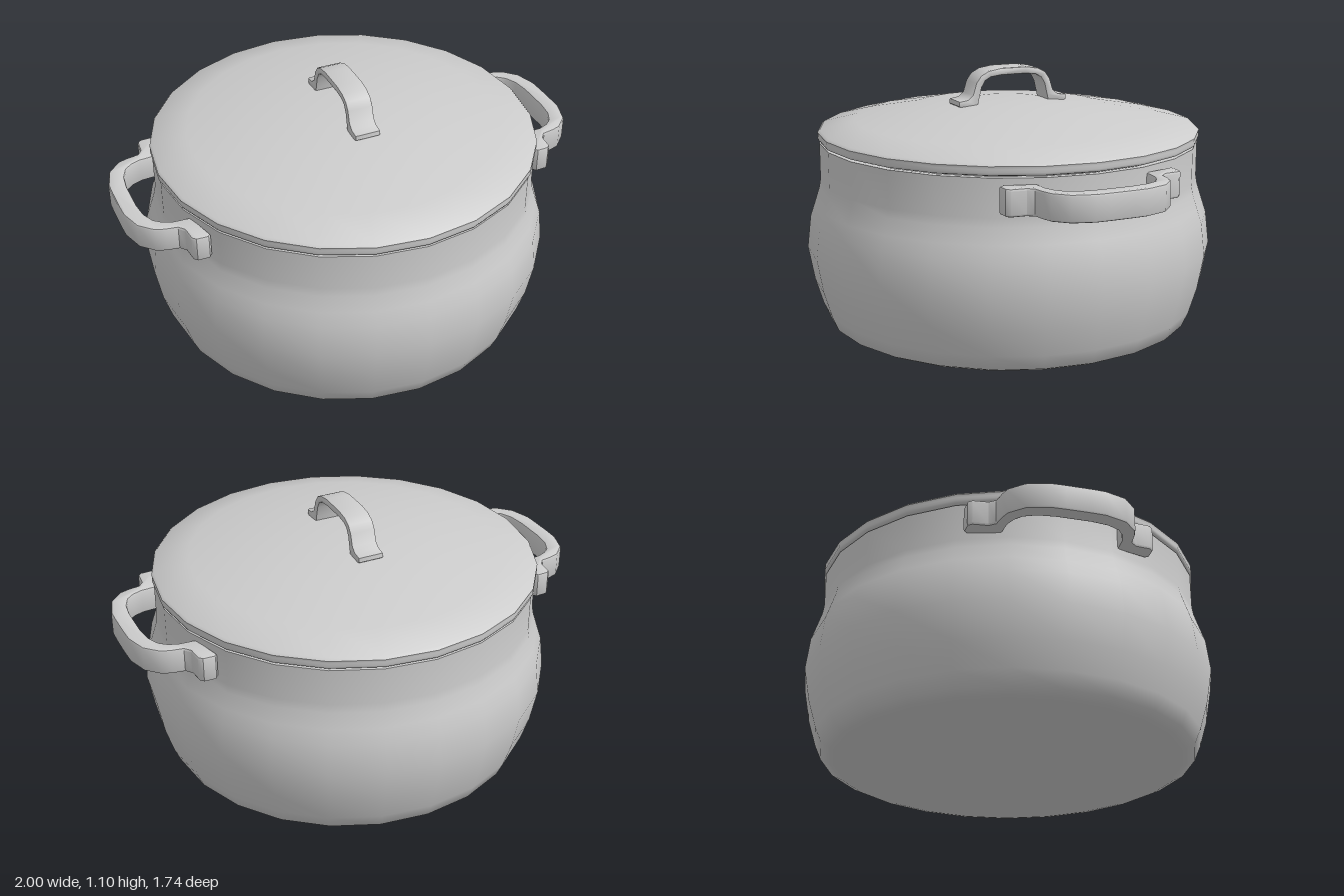
import * as THREE from 'three';
import { toCreasedNormals } from 'three/addons/utils/BufferGeometryUtils.js';

const material = new THREE.MeshStandardMaterial({ color: 0xcccccc });

function addMesh(parent, name, geometry, crease) {
  const mesh = new THREE.Mesh(toCreasedNormals(geometry, crease), material);
  mesh.name = name;
  parent.add(mesh);
  return mesh;
}

const lathe = (points) =>
  new THREE.LatheGeometry(points.map(([r, y]) => new THREE.Vector2(r, y)), 24);

// Strap with a mirrored outline: half the outer edge, then half the inner edge,
// both running from the foot to the middle [along, out].
function strap(outer, inner, width, bevel) {
  const flip = (pts) => pts.slice().reverse().map(([a, b]) => [-a, b]);
  const outline = [...outer, ...flip(outer), ...inner.map(([a, b]) => [-a, b]),
    ...inner.slice().reverse()];
  const shape = new THREE.Shape(outline.map(([a, b]) => new THREE.Vector2(a, b)));
  const geometry = new THREE.ExtrudeGeometry(shape, {
    depth: width - 2 * bevel, bevelEnabled: true, bevelThickness: bevel,
    bevelSize: bevel, bevelOffset: -bevel, bevelSegments: 2,
  });
  return geometry.translate(0, 0, bevel - width / 2);
}

export function createModel() {
  const group = new THREE.Group();
  group.name = 'cookingPot';

  // Bulging pot with a rim and inner wall
  addMesh(group, 'potBody', lathe([
    [0, 0], [0.71, 0], [0.745, 0.008], [0.785, 0.027], [0.812, 0.09], [0.845, 0.2],
    [0.871, 0.345], [0.855, 0.48], [0.835, 0.54], [0.814, 0.605], [0.808, 0.64],
    [0.808, 0.795], [0.78, 0.795], [0.78, 0.62], [0.83, 0.345], [0.76, 0.06], [0, 0.04],
  ]), 0.9);

  // Shallow domed lid with a rolled edge
  addMesh(group, 'lid', lathe([
    [0, 0.8], [0.795, 0.8], [0.81, 0.805], [0.815, 0.815], [0.812, 0.828], [0.815, 0.84],
    [0.805, 0.85], [0.66, 0.886], [0.41, 0.932], [0.17, 0.955], [0, 0.957],
  ]), 0.9);

  // Arched grip on the lid, running front to back
  const grip = strap(
    [[0.24, 0.943], [0.252, 0.952], [0.25, 0.971], [0.21, 0.977], [0.188, 0.995], [0.172, 1.045],
      [0.15, 1.075], [0.115, 1.093], [0.06, 1.102]],
    [[0.165, 0.943], [0.158, 0.975], [0.146, 1.025], [0.13, 1.052], [0.105, 1.066], [0.055, 1.072]],
    0.112, 0.007);
  addMesh(group, 'lidGrip', grip.rotateY(Math.PI / 2), 0.7);

  // Side loops with feet resting against the wall
  for (const [name, turn] of [['leftHandle', 0], ['rightHandle', Math.PI]]) {
    const loop = strap(
      [[0.366, 0.724], [0.38, 0.735], [0.378, 0.785], [0.362, 0.8], [0.3, 0.806], [0.276, 0.826],
        [0.268, 0.875], [0.255, 0.915], [0.2, 0.97], [0.11, 0.998], [0.05, 1]],
      [[0.235, 0.76], [0.23, 0.83], [0.215, 0.87], [0.19, 0.9], [0.14, 0.923], [0.07, 0.932]],
      0.11, 0.01);
    // Outline [along, out] becomes [z, x], width becomes height
    loop.rotateZ(-Math.PI / 2).rotateX(Math.PI / 2);
    const handle = addMesh(group, name, loop, 0.7);
    handle.position.y = 0.715;
    handle.rotation.y = turn;
  }

  return group;
}
